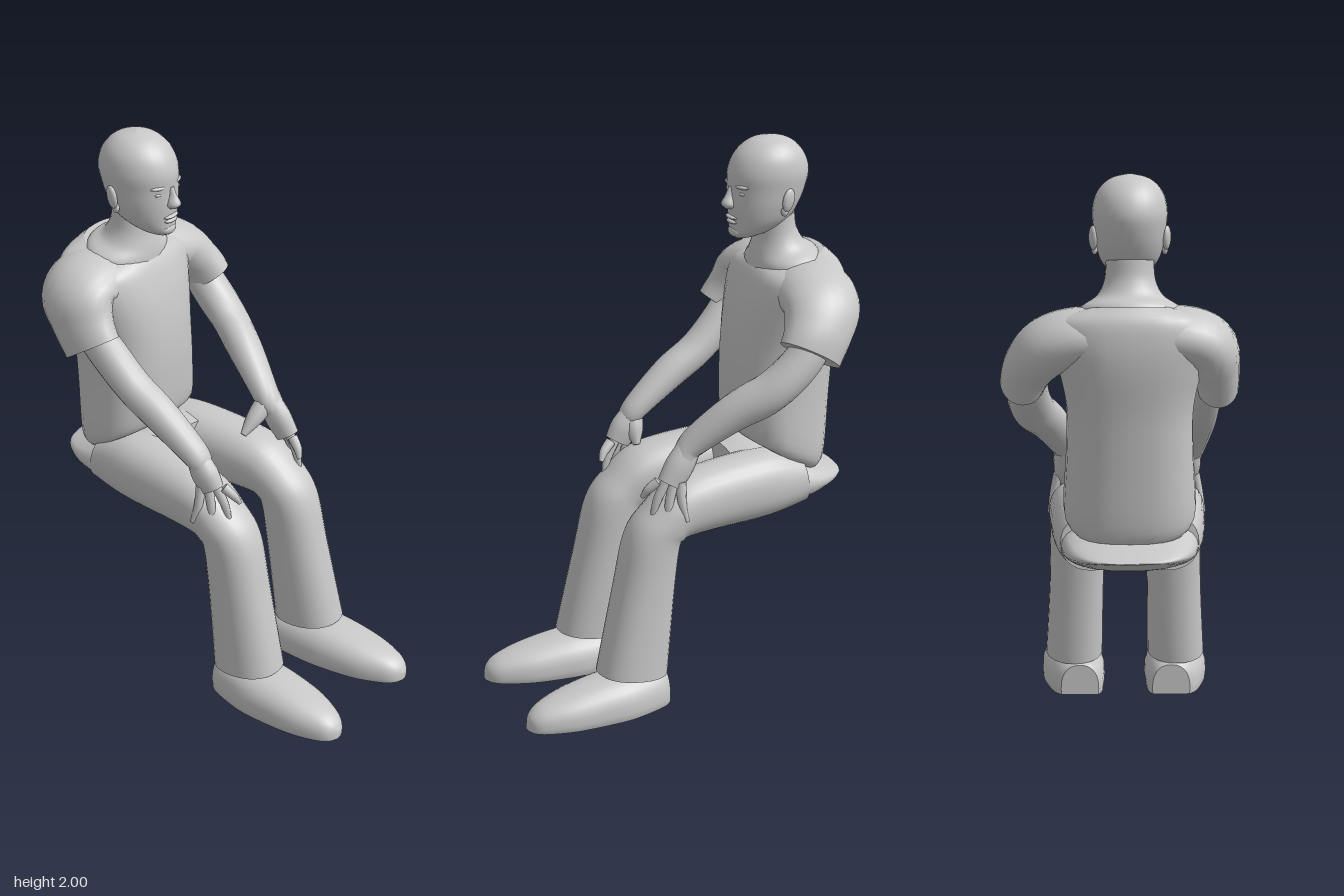
import * as THREE from 'three';

const CX = -0.035; // middle line of the body
const grey = new THREE.MeshStandardMaterial({ color: 0xc8c8c8 });
grey.name = 'plain grey';

// Smooth in-between rows of a table of cross-sections
function refine(rows, steps) {
  const out = [];
  for (let i = 0; i < rows.length - 1; i++) {
    const [a, b, c, d] = [rows[Math.max(i - 1, 0)], rows[i], rows[i + 1], rows[Math.min(i + 2, rows.length - 1)]];
    for (let s = 0; s < steps; s++) {
      const t = s / steps;
      out.push(b.map((_, k) => b[k] + 0.5 * t * (c[k] - a[k]
        + t * (2 * a[k] - 5 * b[k] + 4 * c[k] - d[k] + t * (3 * (b[k] - c[k]) + d[k] - a[k])))));
    }
  }
  out.push(rows[rows.length - 1]);
  return out;
}

// Skin over rings {c, u, v}, with flat ends; bend 1 is oval, lower is boxier
function skin(name, rings, { sides = 28, floor = -9, bend = 1 }) {
  const pos = [], idx = [], m = rings.length;
  const soft = n => Math.sign(n) * Math.abs(n) ** bend;
  const point = (r, j) => {
    const a = (j / sides) * Math.PI * 2;
    const p = r.c.clone().addScaledVector(r.u, soft(Math.cos(a))).addScaledVector(r.v, soft(Math.sin(a)));
    p.y = Math.max(p.y, floor);
    return p;
  };
  const addRing = r => { for (let j = 0; j < sides; j++) pos.push(...point(r, j).toArray()); };
  rings.forEach(addRing);
  for (let i = 0; i < m - 1; i++) for (let j = 0; j < sides; j++) {
    const k = (j + 1) % sides, a = i * sides, b = a + sides;
    idx.push(a + j, b + j, a + k, a + k, b + j, b + k);
  }
  for (const [r, first] of [[rings[0], true], [rings[m - 1], false]]) {
    const o = pos.length / 3;
    addRing(r);
    pos.push(r.c.x, Math.max(r.c.y, floor), r.c.z);
    for (let j = 0; j < sides; j++) {
      const k = (j + 1) % sides;
      idx.push(o + sides, o + (first ? j : k), o + (first ? k : j));
    }
  }
  // Turn the faces outward whichever way the rings run
  let volume = 0;
  const at = i => new THREE.Vector3().fromArray(pos, i * 3);
  for (let i = 0; i < idx.length; i += 3) volume += at(idx[i]).dot(at(idx[i + 1]).cross(at(idx[i + 2])));
  if (volume < 0) idx.reverse();
  const g = new THREE.BufferGeometry();
  g.setAttribute('position', new THREE.Float32BufferAttribute(pos, 3));
  g.setIndex(idx);
  g.computeVertexNormals();
  const mesh = new THREE.Mesh(g, grey);
  mesh.name = name;
  return mesh;
}

// Rows: x, half width, front (or top) y z, back (or bottom) y z
function loft(name, rows, options = {}) {
  return skin(name, refine(rows, 5).map(([x, w, yf, zf, yb, zb]) => ({
    c: new THREE.Vector3(x, (yf + yb) / 2, (zf + zb) / 2),
    u: new THREE.Vector3(w, 0, 0),
    v: new THREE.Vector3(0, (yf - yb) / 2, (zf - zb) / 2),
  })), options);
}

// Rows: x y z along a limb, then its half depth and half width
function limb(name, rows, sides = 16) {
  const r = refine(rows, 5), p = r.map(q => new THREE.Vector3(q[0], q[1], q[2]));
  return skin(name, r.map((q, i) => {
    const t = p[Math.min(i + 1, p.length - 1)].clone().sub(p[Math.max(i - 1, 0)]).normalize();
    const v = new THREE.Vector3(0, 0, 1).addScaledVector(t, -t.z).normalize();
    const u = t.clone().cross(v);
    return { c: p[i], u: u.multiplyScalar(q[4]), v: v.multiplyScalar(q[3]) };
  }), { sides });
}

function ball(name, x, y, z, sx, sy, sz) {
  const mesh = new THREE.Mesh(new THREE.SphereGeometry(1, 18, 12), grey);
  mesh.name = name;
  mesh.position.set(x, y, z);
  mesh.scale.set(sx, sy, sz);
  return mesh;
}

function makeHead() {
  const head = new THREE.Group();
  head.name = 'head';
  head.add(loft('skull', [
    [CX, 0.03, 1.642, -0.258, 1.65, -0.35], [CX, 0.062, 1.66, -0.24, 1.67, -0.40],
    [CX, 0.095, 1.70, -0.238, 1.71, -0.46], [CX, 0.113, 1.76, -0.234, 1.76, -0.495],
    [CX, 0.121, 1.82, -0.234, 1.82, -0.52], [CX, 0.125, 1.88, -0.235, 1.88, -0.53],
    [CX, 0.109, 1.94, -0.262, 1.94, -0.508], [CX, 0.067, 1.983, -0.315, 1.983, -0.46],
    [CX, 0.005, 2.0, -0.38, 2.0, -0.39]]));
  head.add(loft('neck', [
    [CX, 0.08, 1.70, -0.34, 1.73, -0.48], [CX, 0.086, 1.63, -0.335, 1.67, -0.488],
    [CX, 0.112, 1.58, -0.325, 1.62, -0.515], [CX, 0.165, 1.54, -0.32, 1.59, -0.56],
    [CX, 0.18, 1.49, -0.32, 1.53, -0.58]]));
  // Nose, lips and chin
  head.add(loft('nose', [
    [CX, 0.011, 1.83, -0.230, 1.83, -0.26], [CX, 0.014, 1.80, -0.217, 1.80, -0.26],
    [CX, 0.025, 1.77, -0.202, 1.765, -0.26], [CX, 0.015, 1.752, -0.218, 1.752, -0.26]]));
  head.add(ball('upperLip', CX, 1.720, -0.243, 0.036, 0.008, 0.017));
  head.add(ball('lowerLip', CX, 1.704, -0.245, 0.032, 0.009, 0.017));
  head.add(ball('chin', CX, 1.668, -0.256, 0.036, 0.022, 0.022));
  for (const s of [-1, 1]) {
    head.add(ball('eye', CX + s * 0.046, 1.812, -0.258, 0.02, 0.008, 0.013));
    const brow = ball('brow', CX + s * 0.046, 1.836, -0.26, 0.034, 0.009, 0.02);
    brow.rotation.y = s * 0.3;
    head.add(brow);
    const ear = ball('ear', CX + s * 0.122, 1.79, -0.402, 0.013, 0.042, 0.026);
    ear.rotation.set(-0.2, s * 0.3, 0);
    head.add(ear, ball('earlobe', CX + s * 0.117, 1.75, -0.39, 0.01, 0.018, 0.014));
  }
  return head;
}

function makeHand(name, wrist, palm, tips, thumb) {
  const hand = new THREE.Group();
  hand.name = name;
  const mid = wrist.map((w, k) => (w + palm[k]) / 2);
  hand.add(limb('palm', [[...wrist, 0.042, 0.038], [...mid, 0.054, 0.042], [...palm, 0.048, 0.034]]));
  tips.forEach((tip, i) => {
    const f = (i - 1.5) / 1.5;
    const root = [palm[0] + (tip[0] - palm[0]) * 0.4, palm[1] + 0.01, palm[2] - f * 0.035];
    const knuckle = root.map((r, k) => (r + tip[k]) / 2 + (k === 2 ? 0.008 : 0));
    hand.add(limb('finger', [[...root, 0.019, 0.018], [...knuckle, 0.016, 0.015], [...tip, 0.008, 0.008]], 10));
  });
  const joint = wrist.map((r, k) => (r + thumb[k]) / 2);
  hand.add(limb('thumb', [[...wrist, 0.038, 0.038], [...joint, 0.034, 0.032], [...thumb, 0.012, 0.012]], 10));
  return hand;
}

export function createModel() {
  const model = new THREE.Group();
  model.name = 'seatedFigure';
  model.add(makeHead());

  // Shirt, broad and flat across the back
  model.add(loft('shirt', [
    [CX, 0.20, 0.90, -0.29, 0.76, -0.54], [CX, 0.225, 0.94, -0.248, 0.82, -0.578],
    [CX, 0.215, 1.10, -0.235, 1.05, -0.60], [CX, 0.215, 1.25, -0.24, 1.22, -0.615],
    [CX, 0.245, 1.38, -0.262, 1.38, -0.635], [CX, 0.27, 1.47, -0.29, 1.48, -0.635],
    [CX, 0.25, 1.515, -0.31, 1.55, -0.62], [CX, 0.135, 1.545, -0.33, 1.59, -0.585]], { bend: 0.82 }));
  model.add(limb('rightSleeve', [
    [-0.08, 1.47, -0.47, 0.14, 0.09], [-0.2, 1.475, -0.475, 0.145, 0.1], [-0.29, 1.44, -0.455, 0.14, 0.1],
    [-0.32, 1.36, -0.41, 0.122, 0.083], [-0.33, 1.29, -0.365, 0.118, 0.074]], 24));
  model.add(limb('leftSleeve', [
    [0.02, 1.47, -0.47, 0.14, 0.09], [0.14, 1.47, -0.475, 0.145, 0.1], [0.24, 1.435, -0.455, 0.14, 0.1],
    [0.3, 1.365, -0.41, 0.122, 0.088], [0.325, 1.30, -0.37, 0.118, 0.077]], 24));

  // Arms and hands
  model.add(limb('rightArm', [
    [-0.31, 1.38, -0.42, 0.065, 0.06], [-0.29, 1.28, -0.35, 0.07, 0.065], [-0.28, 1.16, -0.23, 0.064, 0.066],
    [-0.275, 1.08, -0.11, 0.062, 0.063], [-0.265, 0.97, 0.03, 0.047, 0.052], [-0.265, 0.93, 0.055, 0.04, 0.042]]));
  model.add(limb('leftArm', [
    [0.30, 1.38, -0.42, 0.065, 0.065], [0.31, 1.28, -0.35, 0.07, 0.07], [0.295, 1.18, -0.24, 0.066, 0.075],
    [0.24, 1.10, -0.12, 0.062, 0.068], [0.185, 0.99, 0.01, 0.047, 0.054], [0.185, 0.94, 0.05, 0.04, 0.042]]));
  model.add(makeHand('rightHand', [-0.265, 0.95, 0.045], [-0.262, 0.85, 0.105],
    [[-0.215, 0.80, 0.19], [-0.245, 0.73, 0.168], [-0.285, 0.70, 0.115], [-0.315, 0.72, 0.055]], [-0.21, 0.845, 0.05]));
  model.add(makeHand('leftHand', [0.182, 0.98, 0.02], [0.19, 0.85, 0.105],
    [[0.145, 0.80, 0.19], [0.18, 0.725, 0.168], [0.215, 0.70, 0.12], [0.242, 0.72, 0.06]], [0.06, 0.875, 0.0]));

  // Seat of the trousers, tapering to a rounded rim at the back
  model.add(loft('trouserSeat', [
    [CX, 0.18, 0.875, -0.2, 0.64, -0.2], [CX, 0.22, 0.885, -0.3, 0.635, -0.32], [CX, 0.235, 0.84, -0.42, 0.65, -0.44],
    [CX, 0.21, 0.79, -0.54, 0.69, -0.54], [CX, 0.155, 0.76, -0.615, 0.722, -0.615],
    [CX, 0.09, 0.746, -0.646, 0.735, -0.646], [CX, 0.01, 0.742, -0.656, 0.738, -0.656]], { bend: 0.85 }));

  // Legs and shoes, mirrored about the body's middle
  const leg = [
    [-0.165, 0.105, 0.85, -0.44, 0.66, -0.46], [-0.182, 0.115, 0.882, -0.3, 0.635, -0.3],
    [-0.195, 0.115, 0.873, -0.1, 0.63, -0.1], [-0.205, 0.11, 0.84, 0.06, 0.625, 0.02],
    [-0.21, 0.105, 0.76, 0.165, 0.62, 0.045], [-0.21, 0.102, 0.66, 0.247, 0.59, 0.057],
    [-0.215, 0.10, 0.45, 0.30, 0.40, 0.08], [-0.225, 0.106, 0.15, 0.37, 0.12, 0.11]];
  const shoe = [[-0.205, 0.07, 0.115, 0.108], [-0.212, 0.094, 0.132, 0.15], [-0.225, 0.115, 0.14, 0.27],
    [-0.23, 0.116, 0.135, 0.37], [-0.237, 0.102, 0.112, 0.5], [-0.243, 0.072, 0.085, 0.595],
    [-0.246, 0.045, 0.058, 0.638], [-0.247, 0.012, 0.03, 0.656]]
    .map(([x, w, h, z]) => [x, w, h, z, -0.6 * h, z]);
  const mirror = rows => rows.map(([x, ...rest]) => [2 * CX - x, ...rest]);
  const cloth = { bend: 0.9 }, ground = { floor: 0, bend: 0.85 };
  model.add(loft('rightLeg', leg, cloth), loft('leftLeg', mirror(leg), cloth));
  model.add(loft('rightShoe', shoe, ground), loft('leftShoe', mirror(shoe), ground));
  return model;
}
